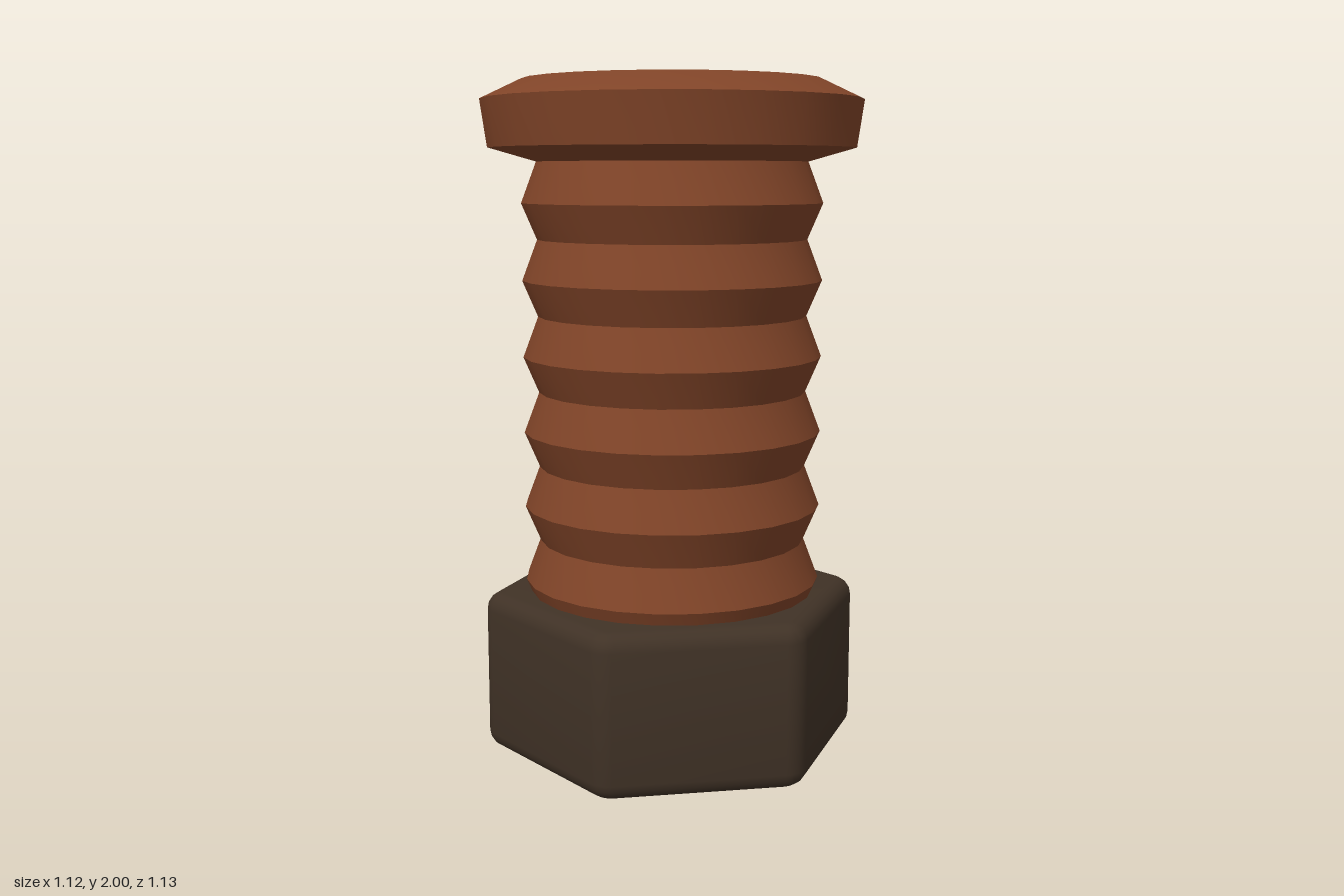
import * as THREE from 'three';
import { toCreasedNormals } from 'three/addons/utils/BufferGeometryUtils.js';

const rust = new THREE.MeshStandardMaterial({ color: 0x804428 });
rust.name = 'rust brown';
const iron = new THREE.MeshStandardMaterial({ color: 0x403226 });
iron.name = 'dark iron';

const CREASE = Math.PI / 6;

function part(name, geometry, material) {
  const mesh = new THREE.Mesh(toCreasedNormals(geometry, CREASE), material);
  mesh.name = name;
  return mesh;
}

// Turned part with 24 sides; profile runs from bottom to top, corner on +x
function turned(profile) {
  return new THREE.LatheGeometry(profile.map(([r, y]) => new THREE.Vector2(r, y)), 24);
}

// Shaft with ring-shaped threads
function threadedShaft() {
  const top = 1.765, pitch = 0.2253, rings = 7;
  const profile = [[0, 0.08], [0.4, 0.08]];
  for (let i = rings; i > 0; i--) {
    const valley = top - i * pitch;
    profile.push([0.4, valley + (i === rings ? 0.01 : 0)], [0.445, valley + pitch * 0.47]);
  }
  profile.push([0.4, top], [0, top + 0.02]);
  return part('threadedShaft', turned(profile), rust);
}

// Round cap with bevelled rim
function cap() {
  return part('cap', turned([
    [0, 1.765], [0.4, 1.765], [0.54, 1.805], [0.56, 1.943], [0.44, 2], [0, 2],
  ]), rust);
}

// Hexagonal nut with rounded corners and rims
function hexNut() {
  const height = 0.482, bevel = 0.05, cornerRadius = 0.03;
  const centreRadius = (0.5 - bevel - cornerRadius) / Math.cos(Math.PI / 6);
  const shape = new THREE.Shape();
  for (let i = 0; i < 6; i++) {
    const a = Math.PI / 6 + i * Math.PI / 3;
    shape.absarc(Math.cos(a) * centreRadius, Math.sin(a) * centreRadius,
      cornerRadius, a - Math.PI / 6, a + Math.PI / 6, false);
  }
  const geometry = new THREE.ExtrudeGeometry(shape, {
    depth: height - 2 * bevel, bevelSize: bevel, bevelThickness: bevel,
    bevelSegments: 4, curveSegments: 4,
  });
  geometry.rotateX(-Math.PI / 2).translate(0, bevel, 0);
  return part('hexNut', geometry, iron);
}

export function createModel() {
  const bolt = new THREE.Group();
  bolt.name = 'boltWithNut';
  bolt.add(cap(), threadedShaft(), hexNut());
  return bolt;
}
